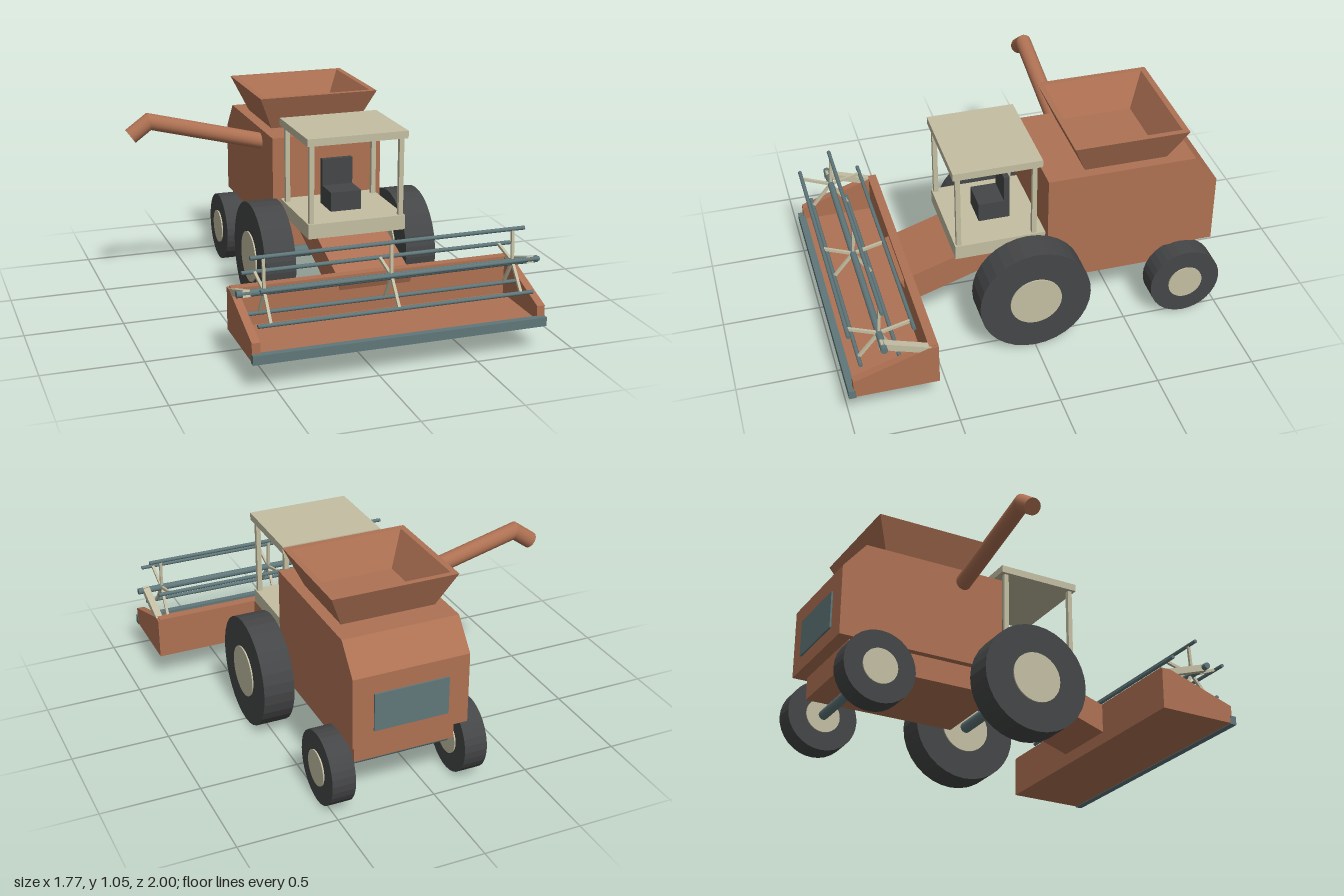
import * as THREE from 'three';

const mat = (name, color) => { const m = new THREE.MeshStandardMaterial({ color }); m.name = name; return m; };

export function createModel() {
  const paint = mat('rust paint', 0xae7153);
  const cream = mat('cream', 0xc3bea2);
  const steel = mat('blue steel', 0x60777a);
  const dark = mat('dark rubber', 0x454647);

  // The machine is built about its own centre line, then shifted to make room for the spout
  const group = new THREE.Group();
  group.name = 'harvester';
  const machine = new THREE.Group();
  machine.name = 'machine';
  machine.position.x = 0.124;
  group.add(machine);

  const add = (name, geo, material, x = 0, y = 0, z = 0) => {
    const m = new THREE.Mesh(geo, material);
    m.name = name;
    m.position.set(x, y, z);
    machine.add(m);
    return m;
  };
  // Box from its lower and upper limits in y and z
  const box = (name, material, x, width, y0, y1, z0, z1) =>
    add(name, new THREE.BoxGeometry(width, y1 - y0, z1 - z0), material, x, (y0 + y1) / 2, (z0 + z1) / 2);
  // Cylinder lying along x
  const bar = (name, material, r, length, x, y, z, sides = 16) =>
    add(name, new THREE.CylinderGeometry(r, r, length, sides).rotateZ(Math.PI / 2), material, x, y, z);
  // Side profile of [z, y] points, extruded across x
  const profile = (name, material, pts, width, x = 0) => {
    const shape = new THREE.Shape(pts.map(([z, y]) => new THREE.Vector2(z, y)));
    const geo = new THREE.ExtrudeGeometry(shape, { depth: width, bevelEnabled: false });
    return add(name, geo.translate(0, 0, -width / 2).rotateY(-Math.PI / 2), material, x);
  };

  // Body
  profile('body', paint, [[-0.105, 0.36], [-0.105, 0.87], [-0.865, 0.87], [-0.985, 0.725], [-0.985, 0.36]], 0.592);
  box('chassis', paint, 0, 0.52, 0.24, 0.36, -0.92, -0.105);
  box('rearPanel', steel, 0, 0.38, 0.435, 0.63, -0.994, -0.985);

  // Grain hopper: rectangular rings [half width, y, half depth] running up the outside and down the inside
  const rings = [[0.24, 0.87, 0.213], [0.32, 1.05, 0.292], [0.29, 1.05, 0.262], [0.205, 0.885, 0.18], [0, 0.885, 0]];
  const corners = [[1, 1], [1, -1], [-1, -1], [-1, 1]];
  const verts = [];
  for (let r = 0; r < rings.length - 1; r++) {
    for (let i = 0; i < 4; i++) {
      const p = (ring, k) => [corners[k % 4][0] * ring[0], ring[1], corners[k % 4][1] * ring[2]];
      const a = p(rings[r], i), b = p(rings[r], i + 1), c = p(rings[r + 1], i + 1), d = p(rings[r + 1], i);
      verts.push(...a, ...b, ...c, ...a, ...c, ...d);
    }
  }
  const hopper = new THREE.BufferGeometry();
  hopper.setAttribute('position', new THREE.Float32BufferAttribute(verts, 3));
  hopper.computeVertexNormals();
  add('grainHopper', hopper, paint, 0, 0, -0.519);

  // Unloading spout: two cylinders cut to a mitre at the elbow
  const spout = (name, from, to, mitreEnd) => {
    const dx = to[0] - from[0], dy = to[1] - from[1], len = Math.hypot(dx, dy);
    const geo = new THREE.CylinderGeometry(0.042, 0.042, len, 20);
    const pos = geo.attributes.position;
    for (let i = 0; i < pos.count; i++) {
      if (pos.getY(i) * mitreEnd > 0) pos.setY(i, pos.getY(i) + mitreEnd * pos.getX(i) * Math.tan(0.439));
    }
    const m = add(name, geo, paint, (from[0] + to[0]) / 2, (from[1] + to[1]) / 2, -0.328);
    m.rotation.z = Math.atan2(-dx, dy);
  };
  spout('spoutTube', [-0.2, 0.778], [-0.889, 0.955], 1);
  spout('spoutEnd', [-0.889, 0.955], [-0.987, 0.884], -1);

  // Cab with open sides
  box('cabFloor', cream, 0, 0.51, 0.47, 0.545, -0.105, 0.355);
  box('cabRoof', cream, 0, 0.526, 0.944, 0.982, -0.085, 0.362);
  for (const s of [-1, 1]) {
    for (const z of [-0.05, 0.335]) box('cabPost', cream, s * 0.235, 0.024, 0.545, 0.944, z - 0.012, z + 0.012);
  }
  box('seat', dark, 0, 0.162, 0.545, 0.645, 0.03, 0.19);
  box('seatBack', dark, 0, 0.162, 0.645, 0.783, 0.03, 0.058);

  // Wheels and axles; hubs stand a little proud on both faces
  const wheel = (name, r, hubR, width, x, z) => {
    const tyre = new THREE.CylinderGeometry(r, r, width, 32).rotateZ(Math.PI / 2).toNonIndexed();
    tyre.computeVertexNormals();
    add(name + 'Tyre', tyre, dark, x, r, z);
    bar(name + 'Hub', cream, hubR, width + 0.014, x, r, z, 32);
  };
  for (const s of [-1, 1]) {
    wheel('frontWheel', 0.285, 0.132, 0.16, s * 0.376, 0);
    wheel('rearWheel', 0.185, 0.09, 0.118, s * 0.343, -0.815);
  }
  bar('frontAxle', steel, 0.03, 0.7, 0, 0.285, 0);
  bar('rearAxle', steel, 0.025, 0.6, 0, 0.185, -0.815);

  // Feeder housing
  profile('feeder', paint, [[0.57, 0.2], [0.625, 0.335], [0.2, 0.476], [-0.11, 0.53], [-0.11, 0.43]], 0.37);

  // Header trough
  box('headerBack', paint, 0, 1.44, 0.14, 0.36, 0.56, 0.605);
  box('headerFloor', paint, 0, 1.44, 0.14, 0.165, 0.6, 0.97);
  for (const s of [-1, 1]) {
    profile('headerSide', paint, [[0.56, 0.14], [0.56, 0.355], [0.61, 0.355], [0.975, 0.233], [0.975, 0.14]], 0.04, s * 0.711);
  }
  box('cutterBar', steel, 0, 1.465, 0.135, 0.18, 0.965, 1.0);

  // Reel with five bats carried on three sets of spokes
  const reelY = 0.415, reelZ = 0.822, reelR = 0.163;
  bar('reelShaft', steel, 0.017, 1.515, 0, reelY, reelZ);
  for (let i = 0; i < 5; i++) {
    const a = THREE.MathUtils.degToRad(86 + i * 72);
    const dz = -Math.cos(a), dy = Math.sin(a);
    bar('reelBat', steel, 0.01, 1.375, 0, reelY + dy * reelR, reelZ + dz * reelR, 10);
    for (const x of [-0.625, 0, 0.625]) {
      const spoke = add('reelSpoke', new THREE.BoxGeometry(0.014, reelR, 0.014), cream,
        x, reelY + dy * reelR / 2, reelZ + dz * reelR / 2);
      spoke.rotation.x = Math.atan2(dz, dy);
    }
  }
  // Arms holding the reel shaft
  for (const s of [-1, 1]) {
    const arm = add('reelArm', new THREE.BoxGeometry(0.036, 0.034, 0.25), cream, s * 0.712, 0.38, 0.718);
    arm.rotation.x = -Math.atan2(0.075, 0.225);
  }
  return group;
}
